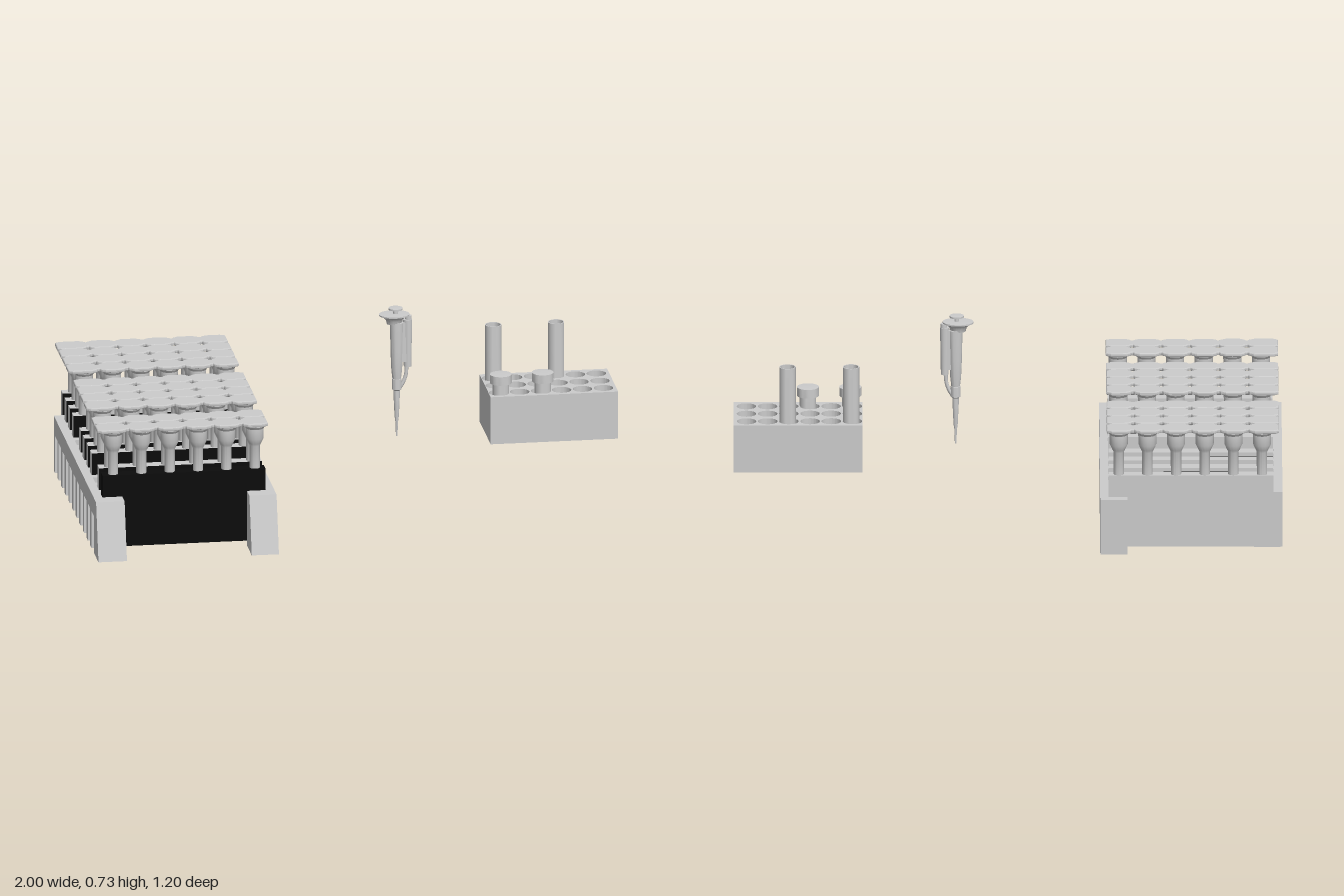
import * as THREE from 'three';
import { toCreasedNormals } from 'three/addons/utils/BufferGeometryUtils.js';

const grey = new THREE.MeshStandardMaterial({ color: 0xcccccc });
const greyOpen = new THREE.MeshStandardMaterial({ color: 0xcccccc, side: THREE.DoubleSide });
const black = new THREE.MeshStandardMaterial({ color: 0x0c0c0c });

function add(parent, name, geometry, material = grey) {
  const mesh = new THREE.Mesh(geometry, material);
  mesh.name = name;
  parent.add(mesh);
  return mesh;
}

// box given by its minimum and maximum on each axis
function box(x0, x1, y0, y1, z0, z1) {
  return new THREE.BoxGeometry(x1 - x0, y1 - y0, z1 - z0)
    .translate((x0 + x1) / 2, (y0 + y1) / 2, (z0 + z1) / 2);
}

function lathe(profile, segments = 20) {
  const points = profile.map(([r, y]) => new THREE.Vector2(r, y));
  return toCreasedNormals(new THREE.LatheGeometry(points, segments), 0.6);
}

// extrude a (z, y) outline along x, from x0 to x1
function extrudeAlongX(outline, x0, x1) {
  const shape = new THREE.Shape(outline.map(([z, y]) => new THREE.Vector2(z, y)));
  return new THREE.ExtrudeGeometry(shape, { depth: x1 - x0, bevelEnabled: false })
    .rotateY(-Math.PI / 2).translate(x1, 0, 0);
}

const PITCH = 0.0905, FIRST = 0.453, TOOTH = 0.0165;
const slotZ = i => FIRST - PITCH * i;
const tubeX = i => -0.925 + 0.1045 * i;

// rail: slotted outer wall, inner teeth and a sloping front foot
function makeRail(name, outer, inner, wall, teeth) {
  const rail = new THREE.Group();
  rail.name = name;
  const lo = Math.min(outer, wall), hi = Math.max(outer, wall);
  const ilo = Math.min(inner, wall), ihi = Math.max(inner, wall);
  const comb = [[0.6, 0], [0.54, 0.21]];
  const back = slotZ(teeth - 0.5) - TOOTH;
  comb.push([back, 0.21], [back, 0]);
  for (let k = teeth - 1; k >= 0; k--) {
    const front = slotZ(k + 0.5) + TOOTH;
    const next = k > 0 ? slotZ(k - 0.5) - TOOTH : 0.482;
    comb.push([front, 0], [front, 0.142], [next, 0.142], [next, 0]);
  }
  add(rail, 'slottedWall', extrudeAlongX(comb, lo, hi));
  add(rail, 'frontFoot', extrudeAlongX([[0.6, 0], [0.54, 0.21], [0.482, 0.21], [0.482, 0]], ilo, ihi));
  for (let k = 0; k < teeth; k++) {
    const z = slotZ(k + 0.5);
    add(rail, 'railTooth', box(ilo, ihi, 0, 0.21, z - TOOTH, z + TOOTH));
  }
  return rail;
}

// scalloped outline of the lid joining six tubes
function lidGeometry() {
  const side = [];
  for (let i = 0; i < 6; i++) {
    const x = tubeX(i);
    side.push([i ? x - 0.042 : -0.983, 0.03], [i ? x - 0.028 : -0.97, 0.039], [x + 0.024, 0.039], [x + 0.04, 0.03]);
    if (i < 5) side.push([x + 0.047, 0.021], [x + 0.057, 0.021]);
  }
  const mirrored = side.map(([x, z]) => [x, -z]).reverse();
  const shape = new THREE.Shape([...side, ...mirrored].map(p => new THREE.Vector2(...p)));
  return new THREE.ExtrudeGeometry(shape, {
    depth: 0.006, bevelThickness: 0.004, bevelSize: 0.004, bevelSegments: 2,
  }).rotateX(-Math.PI / 2).translate(0, 0.459, 0);
}

function makeRack() {
  const rack = new THREE.Group();
  rack.name = 'rack';
  rack.add(makeRail('leftRail', -0.335, -0.435, -0.365, 12));
  rack.add(makeRail('rightRail', -1, -0.895, -0.968, 11));

  const lid = lidGeometry();
  const tube = lathe([[0, 0.28], [0.019, 0.28], [0.019, 0.375], [0.024, 0.385], [0.033, 0.405],
    [0.033, 0.442], [0.04, 0.452], [0.04, 0.46], [0, 0.46]], 16);
  const block = box(-0.966, -0.366, 0.018, 0.29, -0.0225, 0.0225);
  const panel = box(-0.966, -0.366, 0.018, 0.29, 0.0225, 0.0235);
  for (let i = 0; i < 12; i++) {
    if (i === 2 || i === 7) continue; // empty slots
    const strip = new THREE.Group();
    strip.name = 'tubeStrip';
    strip.position.z = slotZ(i);
    add(strip, 'stripBlock', block, i === 0 ? black : grey);
    add(strip, 'stripFrontPanel', panel, black);
    add(strip, 'stripLid', lid);
    for (let t = 0; t < 6; t++) add(strip, 'tube', tube).position.x = tubeX(t);
    rack.add(strip);
  }
  return rack;
}

function makePipette() {
  const pipette = new THREE.Group();
  pipette.name = 'pipette';
  pipette.position.set(0.19, 0, -0.014);
  // plunger and finger flange
  add(pipette, 'plungerButton', lathe([[0, 0.7], [0.009, 0.7], [0.009, 0.714], [0.026, 0.719],
    [0.026, 0.725], [0, 0.727]])).position.x = -0.004;
  const flange = add(pipette, 'fingerFlange', lathe([[0, 0.665], [0.022, 0.665], [0.025, 0.68],
    [0.034, 0.692], [0.045, 0.697], [0.045, 0.702], [0, 0.704]], 28));
  flange.scale.x = 1.25;
  flange.position.x = -0.009;
  // handle, shaft and tip
  add(pipette, 'handle', lathe([[0, 0.45], [0.016, 0.455], [0.02, 0.49], [0.023, 0.56], [0.025, 0.67], [0, 0.675]]));
  add(pipette, 'shaft', lathe([[0, 0.37], [0.011, 0.37], [0.012, 0.41], [0.018, 0.415], [0.018, 0.455], [0, 0.46]]));
  add(pipette, 'tip', lathe([[0, 0.235], [0.003, 0.235], [0.005, 0.29], [0.008, 0.31], [0.011, 0.375], [0, 0.38]], 14));
  // ejector on the side
  add(pipette, 'ejectorHousing', new THREE.CylinderGeometry(0.017, 0.014, 0.18, 16).translate(0.04, 0.59, 0));
  add(pipette, 'ejectorBridge', box(0, 0.04, 0.52, 0.67, -0.013, 0.013));
  add(pipette, 'ejectorButton', new THREE.CylinderGeometry(0.012, 0.012, 0.015, 16).translate(0.043, 0.687, 0));
  const arm = new THREE.CatmullRomCurve3([[0.036, 0.51, 0], [0.034, 0.47, 0], [0.024, 0.44, 0], [0.012, 0.42, 0]]
    .map(p => new THREE.Vector3(...p)));
  add(pipette, 'ejectorArm', new THREE.TubeGeometry(arm, 12, 0.007, 8));
  return pipette;
}

function makeTubeBox() {
  const group = new THREE.Group();
  group.name = 'tubeBox';
  const colX = i => 0.567 + 0.0772 * i;
  const rowZ = [-0.197, -0.108, -0.021];

  // block with three rows of six holes over a solid base
  const top = new THREE.Shape([[0.53, -0.03], [1, -0.03], [1, 0.248], [0.53, 0.248]].map(p => new THREE.Vector2(...p)));
  for (let i = 0; i < 6; i++) {
    for (const z of rowZ) {
      top.holes.push(new THREE.Path().absarc(colX(i), -z, 0.0355, 0, Math.PI * 2, true));
    }
  }
  const block = new THREE.ExtrudeGeometry(top, { depth: 0.14, bevelEnabled: false, curveSegments: 20 });
  add(group, 'holedBlock', toCreasedNormals(block.rotateX(-Math.PI / 2).translate(0, 0.24, 0), 0.6));
  add(group, 'boxBase', box(0.53, 1, 0.2, 0.24, -0.248, 0.03));

  // tall open tubes in the back row
  const tall = lathe([[0, 0.25], [0.03, 0.25], [0.03, 0.587], [0.026, 0.587], [0.026, 0.3], [0, 0.3]], 24);
  for (const c of [0, 3]) add(group, 'tallTube', tall, greyOpen).position.set(colX(c) + 0.005, 0, -0.191);

  // short capped tubes in the front row
  const short = lathe([[0, 0.25], [0.03, 0.25], [0.03, 0.42], [0.04, 0.42], [0.04, 0.453], [0, 0.455]], 24);
  for (const c of [0, 2]) add(group, 'cappedTube', short).position.set(colX(c) + 0.007, 0, -0.015);
  return group;
}

export function createModel() {
  const model = new THREE.Group();
  model.name = 'labBench';
  model.add(makeRack(), makePipette(), makeTubeBox());
  return model;
}
